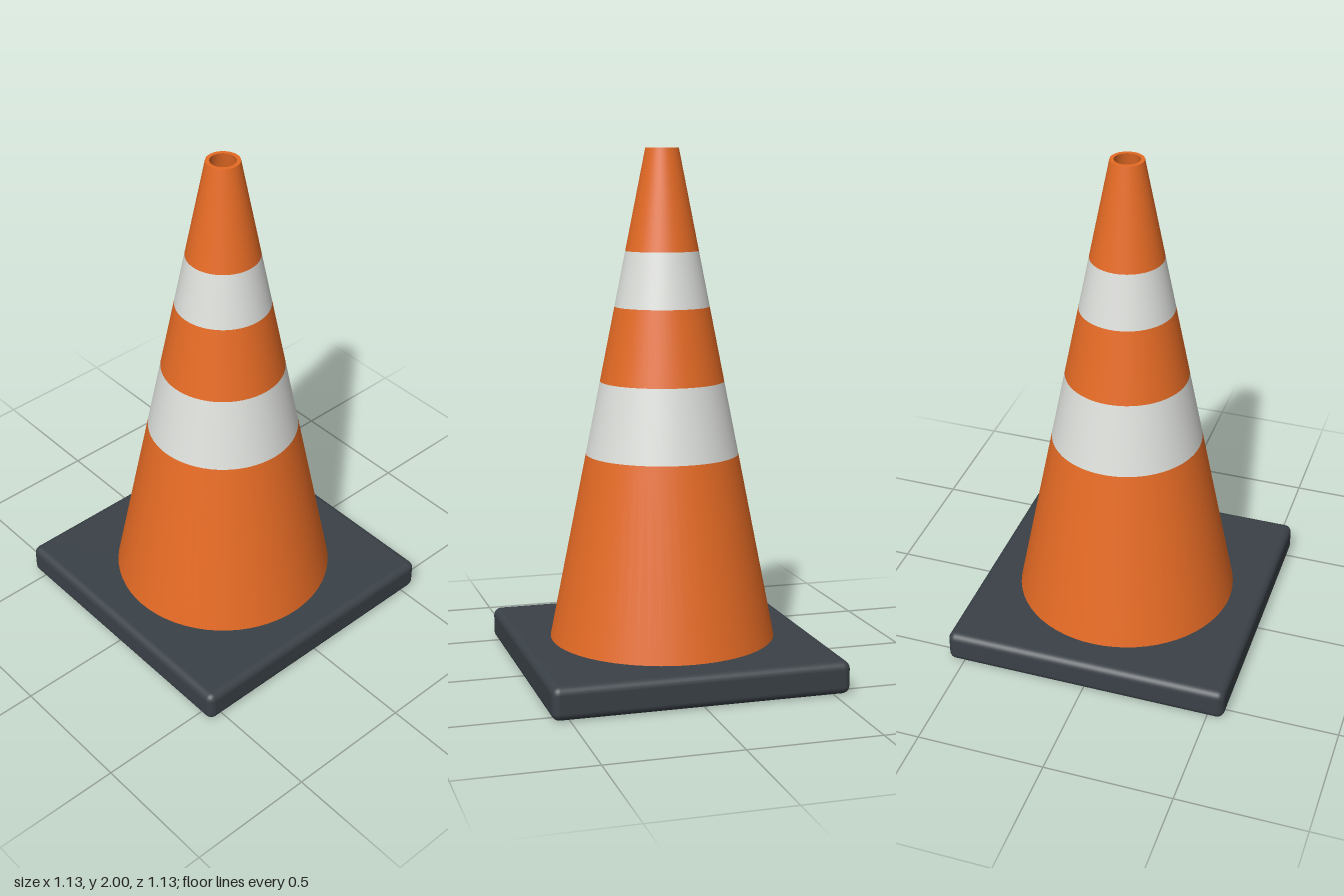
import * as THREE from 'three';
import { RoundedBoxGeometry } from 'three/addons/geometries/RoundedBoxGeometry.js';

export function createModel() {
  const material = (name, color) => {
    const m = new THREE.MeshStandardMaterial({ color });
    m.name = name;
    return m;
  };
  const orange = material('orange plastic', 0xe66b25);
  const white = material('reflective white', 0xdfe1dd);
  const rubber = material('dark rubber', 0x3a4147);

  const model = new THREE.Group();
  model.name = 'trafficCone';
  const add = (name, geometry, mat) => {
    const mesh = new THREE.Mesh(geometry, mat);
    mesh.name = name;
    model.add(mesh);
    return mesh;
  };

  const BASE_HEIGHT = 0.125, TOP = 2, WALL = 0.015;
  const radiusAt = (y) => THREE.MathUtils.mapLinear(y, BASE_HEIGHT, TOP, 0.435, 0.063);
  const lathe = (...points) =>
    new THREE.LatheGeometry(points.map(([r, y]) => new THREE.Vector2(r, y)), 64);

  // Square foot with softened edges
  add('base', new RoundedBoxGeometry(1.13, BASE_HEIGHT, 1.13, 3, 0.03), rubber)
    .position.y = BASE_HEIGHT / 2;

  // Outer shell, split into alternating coloured sections
  const sections = [
    ['lowerBody', BASE_HEIGHT, 0.84, orange],
    ['lowerBand', 0.84, 1.12, white],
    ['middleBody', 1.12, 1.405, orange],
    ['upperBand', 1.405, 1.615, white],
    ['tip', 1.615, TOP, orange],
  ];
  for (const [name, y0, y1, mat] of sections) {
    add(name, lathe([radiusAt(y0), y0], [radiusAt(y1), y1]), mat);
  }

  // Flat rim and hollow inside, open down to the foot
  const inner = (y) => radiusAt(y) - WALL;
  add('rim', lathe([radiusAt(TOP), TOP], [inner(TOP), TOP]), orange);
  add('innerWall', lathe([inner(TOP), TOP], [inner(BASE_HEIGHT), BASE_HEIGHT]), orange);

  return model;
}
